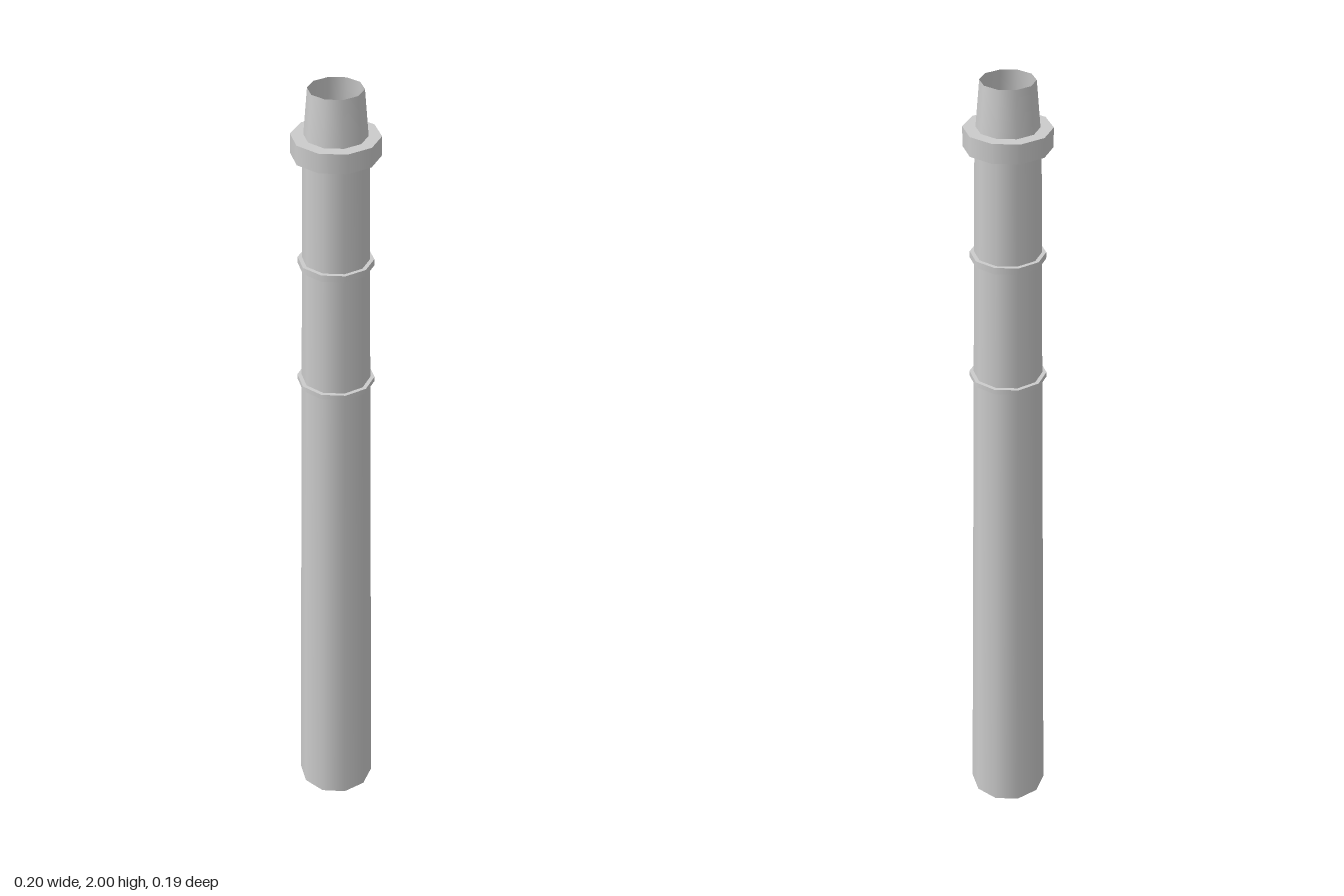
import * as THREE from 'three';
import { mergeGeometries } from 'three/addons/utils/BufferGeometryUtils.js';

const SIDES = 10;
const material = new THREE.MeshStandardMaterial({ color: 0xcccccc, side: THREE.DoubleSide });

// Ten-sided surface of revolution: smooth around, crisp at every profile corner
function turned(name, profile) {
  const bands = [];
  for (let i = 0; i < profile.length - 1; i++) {
    const pair = [profile[i], profile[i + 1]].map(([r, y]) => new THREE.Vector2(r, y));
    bands.push(new THREE.LatheGeometry(pair, SIDES, Math.PI / 2));
  }
  const mesh = new THREE.Mesh(mergeGeometries(bands), material);
  mesh.name = name;
  return mesh;
}

// Radius of the tapering shaft at a given height
const shaftRadius = (y) => 0.097 - 0.0125 * y;

export function createModel() {
  const group = new THREE.Group();
  group.name = 'chimney';

  // Hollow shaft, open at the foot
  group.add(turned('shaft', [[shaftRadius(0), 0], [shaftRadius(1.85), 1.85]]));

  // Thin bands around the shaft
  for (const [name, y, height, radius] of [
    ['lowerBand', 1.264, 0.012, 0.091],
    ['upperBand', 1.574, 0.016, 0.087],
  ]) {
    const inner = shaftRadius(y);
    group.add(turned(name, [[inner, y], [radius, y], [radius, y + height], [inner, y + height]]));
  }

  // Wide collar below the mouth
  group.add(turned('collar', [[0.073, 1.846], [0.1, 1.846], [0.1, 1.892], [0.071, 1.892]]));

  // Open tapered mouth
  group.add(turned('mouth', [[0.073, 1.846], [0.071, 1.892], [0.062, 2]]));

  return group;
}
